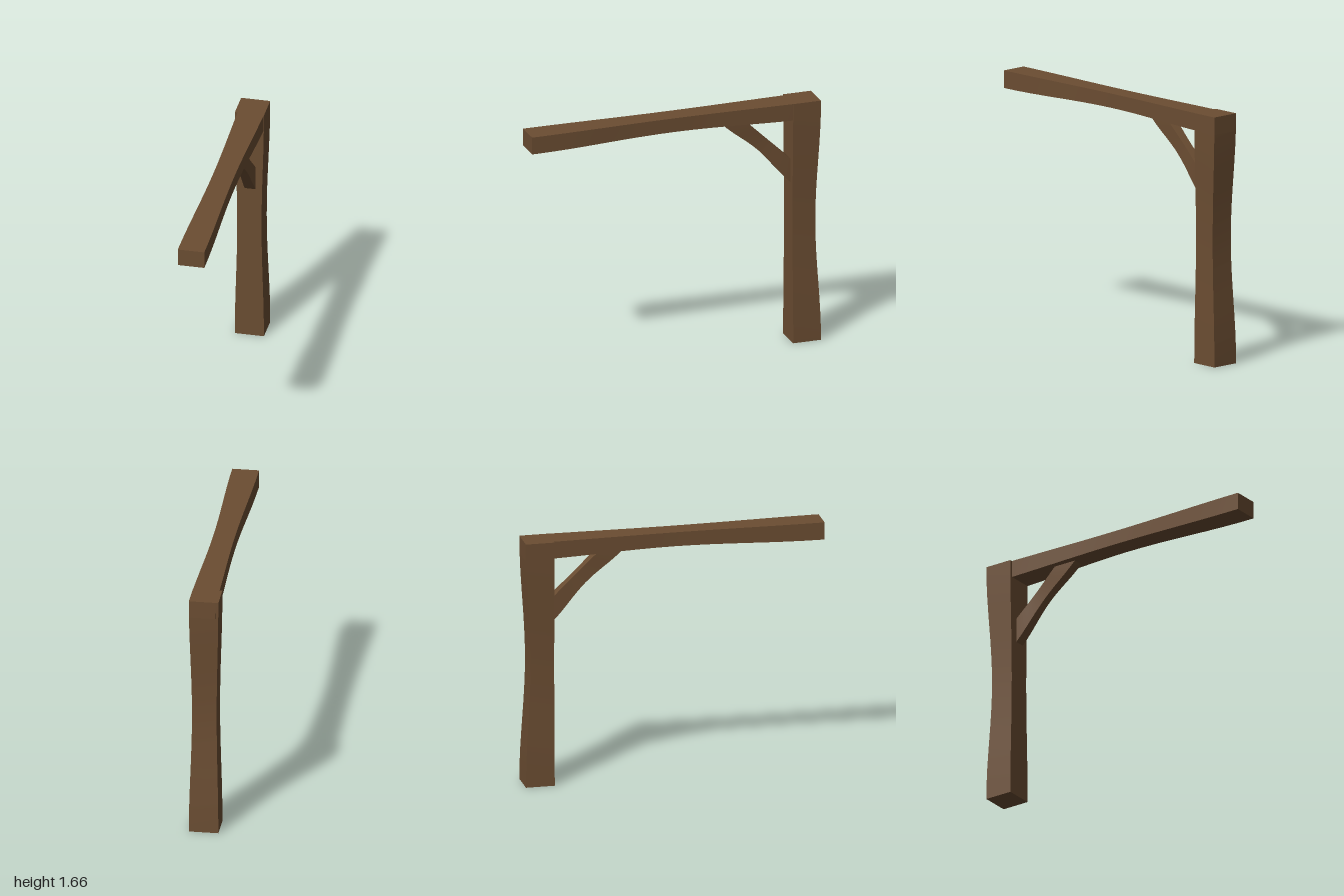
import * as THREE from 'three';

const lerp = THREE.MathUtils.lerp;
// 0 at both ends of a timber, 1 at its middle
const waist = t => 0.5 - 0.5 * Math.cos(2 * Math.PI * t);

// Timber: a box divided along its length; place(u, v, t) positions each vertex
// (u, v run -1..1 across the section, t runs 0..1 along the length)
function timber(name, material, place) {
  const geometry = new THREE.BoxGeometry(2, 2, 1, 1, 1, 16);
  const p = geometry.attributes.position;
  for (let i = 0; i < p.count; i++) {
    p.setXYZ(i, ...place(p.getX(i), p.getY(i), p.getZ(i) + 0.5));
  }
  geometry.computeVertexNormals();
  const mesh = new THREE.Mesh(geometry, material);
  mesh.name = name;
  return mesh;
}

export function createModel() {
  const group = new THREE.Group();
  group.name = 'timberBracket';
  const wood = new THREE.MeshStandardMaterial({ color: 0x6b4d32 });
  wood.name = 'brown wood';

  // Upright post: flat front, hollowed back and sides
  group.add(timber('post', wood, (u, v, t) => [
    u * (0.097 - 0.016 * waist(t)),
    t * 1.665,
    v < 0 ? -0.808 : -1 + 0.034 * waist(t),
  ]));

  // Top beam: flat top, hollowed underside and sides
  group.add(timber('beam', wood, (u, v, t) => [
    0.0085 - 0.0015 * waist(t) + u * (0.0885 - 0.0175 * waist(t)),
    v > 0 ? 1.665 : 1.548 + 0.022 * waist(t),
    -1 + 2 * t,
  ]));

  // Diagonal brace: straight upper edge, arched lower edge
  group.add(timber('brace', wood, (u, v, t) => {
    const bow = v < 0 ? 0.022 * waist(t) : 0;
    return [
      0.006 + u * (0.036 - 0.006 * waist(t)),
      (v > 0 ? lerp(1.265, 1.56, t) : lerp(1.1, 1.56, t)) + bow,
      (v > 0 ? lerp(-0.81, -0.5, t) : lerp(-0.81, -0.34, t)) - bow * 0.5,
    ];
  }));

  return group;
}
